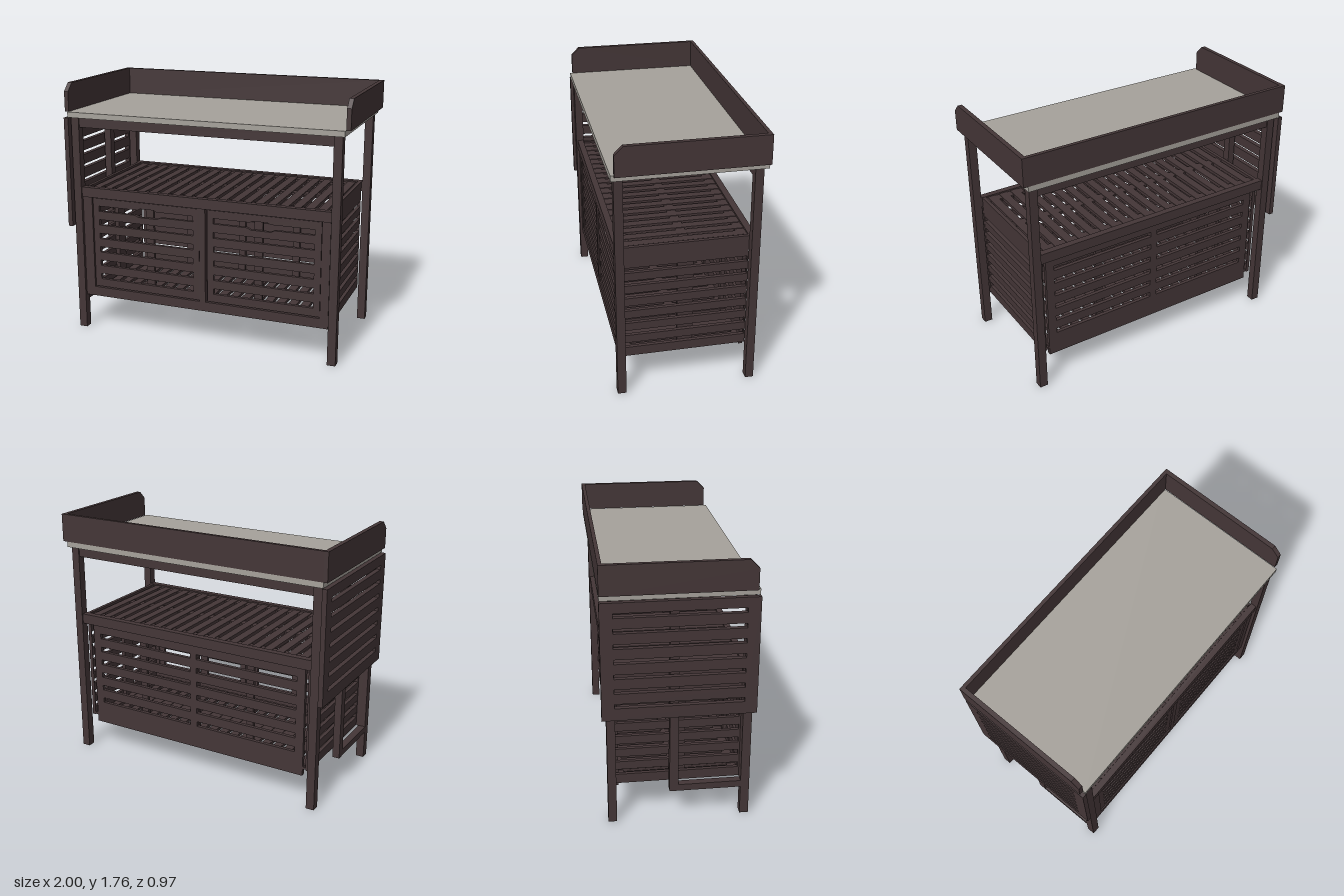
import * as THREE from 'three';

const wood = new THREE.MeshStandardMaterial({ color: 0x443637 });
wood.name = 'darkWood';
const grey = new THREE.MeshStandardMaterial({ color: 0xa6a29b });
grey.name = 'greyTop';

// Box given by its min and max on each axis
function box(parent, name, x0, x1, y0, y1, z0, z1, mat = wood) {
  const m = new THREE.Mesh(new THREE.BoxGeometry(x1 - x0, y1 - y0, z1 - z0), mat);
  m.position.set((x0 + x1) / 2, (y0 + y1) / 2, (z0 + z1) / 2);
  m.name = name;
  parent.add(m);
  return m;
}

const poly = (Type, pts) => new Type(pts.map(p => new THREE.Vector2(p[0], p[1])));
const rect = (u0, u1, v0, v1) => [[u0, v0], [u1, v0], [u1, v1], [u0, v1]];

// Flat board with cut-outs, extruded along z
function board(parent, name, outline, holes, thickness) {
  const shape = poly(THREE.Shape, outline);
  shape.holes = holes.map(h => poly(THREE.Path, h));
  const geo = new THREE.ExtrudeGeometry(shape, { depth: thickness, bevelEnabled: false });
  const m = new THREE.Mesh(geo, wood);
  m.name = name;
  parent.add(m);
  return m;
}

// Board turned to face sideways: outline is (z, y), outer face at xMax
function sideBoard(parent, name, outline, holes, thickness, xMax) {
  const m = board(parent, name, outline, holes, thickness);
  m.rotation.y = -Math.PI / 2;
  m.position.x = xMax;
  return m;
}

// Column of equal slots
function slots(u0, u1, bottom, height, pitch, count) {
  return Array.from({ length: count }, (_, i) =>
    rect(u0, u1, bottom + i * pitch, bottom + i * pitch + height));
}

export function createModel() {
  const g = new THREE.Group();
  g.name = 'changingTable';

  // Legs
  for (const [x0, x1] of [[-0.955, -0.898], [0.895, 0.952]]) {
    box(g, 'frontLeg', x0, x1, 0, 1.535, 0.408, 0.465);
    box(g, 'backLeg', x0, x1, 0, 1.535, -0.455, -0.4);
  }

  // Table top with raised rim
  box(g, 'tableTop', -0.972, 0.968, 1.535, 1.573, -0.483, 0.483, grey);
  box(g, 'rimBack', -0.972, 0.972, 1.573, 1.765, -0.485, -0.46);
  const rim = [[-0.485, 1.573], [0.465, 1.573], [0.465, 1.71], [0.41, 1.765], [-0.485, 1.765]];
  sideBoard(g, 'rimSide', rim, [], 0.03, 1);
  sideBoard(g, 'rimSide', rim, [], 0.03, -0.97);

  // Upper and middle rails
  for (const [z0, z1] of [[0.412, 0.455], [-0.447, -0.402]]) {
    box(g, 'topRail', -0.9, 0.897, 1.467, 1.535, z0, z1);
    box(g, 'middleRail', -0.9, 0.897, 0.975, 1.045, z0, z1);
  }

  // Hanging slatted panel on one side, with its post and foot bar
  sideBoard(g, 'hangingPanel', rect(-0.485, 0.485, 0.76, 1.532),
    slots(-0.405, 0.405, 0.842, 0.03, 0.0988, 7), 0.033, -0.967);
  box(g, 'sidePost', -0.955, -0.905, 0.2, 1.535, -0.057, 0);
  box(g, 'sideFootBar', -0.955, -0.905, 0.2, 0.245, 0, 0.408);

  // Cabinet sides
  for (const s of [1, -1]) {
    sideBoard(g, 'cabinetSide', rect(-0.402, 0.408, 0.245, 1.045),
      slots(-0.395, 0.398, 0.31, 0.036, 0.0923, 7), 0.025, s > 0 ? 0.887 : -0.862);
    const x = s * 0.847;
    box(g, 'sideInnerPost', x - 0.015, x + 0.015, 0.27, 1.0, -0.05, 0.053);
  }

  // Shelf and floor made of slats running front to back
  for (const [name, y] of [['shelfSlat', 1.015], ['floorSlat', 0.246]]) {
    const n = 20, pitch = 1.72 / n;
    for (let i = 0; i < n; i++) {
      const x = -0.86 + (i + 0.5) * pitch;
      box(g, name, x - 0.029, x + 0.029, y, y + 0.022, -0.4, 0.41);
    }
    for (const z of [-0.37, 0, 0.38])
      box(g, name + 'Support', -0.862, 0.862, y + 0.004, y + 0.018, z - 0.03, z + 0.03);
  }

  // Slatted back
  const back = board(g, 'cabinetBack', rect(-0.84, 0.84, 0.2, 0.972),
    [...slots(-0.78, -0.025, 0.362, 0.036, 0.1, 6), ...slots(0.025, 0.78, 0.362, 0.036, 0.1, 6)], 0.025);
  back.position.z = -0.402;
  for (const x of [-0.428, 0, 0.428])
    box(g, 'backInnerPost', x - 0.027, x + 0.025, 0.2, 0.972, -0.377, -0.352);

  // Front frame around the doors
  box(g, 'frontStile', -0.9, -0.828, 0.245, 0.975, 0.408, 0.445);
  box(g, 'frontStile', 0.832, 0.889, 0.245, 0.975, 0.408, 0.445);
  box(g, 'frontBottomRail', -0.9, 0.889, 0.245, 0.312, 0.408, 0.445);
  box(g, 'frontCentrePost', -0.018, 0.024, 0.312, 0.975, 0.408, 0.445);

  // Doors with slots; the top slot widens into a finger grip
  for (const [x0, x1, c] of [[-0.824, -0.022, -0.4], [0.036, 0.828, 0.42]]) {
    const a = x0 + 0.045, b = x1 - 0.045;
    const grip = [[a, 0.875], [c - 0.1, 0.875], [c - 0.075, 0.862], [c + 0.065, 0.862],
      [c + 0.09, 0.875], [b, 0.875], [b, 0.913], [c + 0.06, 0.913], [c + 0.045, 0.924],
      [c - 0.06, 0.924], [c - 0.08, 0.913], [a, 0.913]];
    const door = board(g, 'door', rect(x0, x1, 0.318, 0.968),
      [grip, ...slots(a, b, 0.375, 0.04, 0.1, 5)], 0.025);
    door.position.z = 0.412;
    const p = c < 0 ? -0.4 : 0.393;
    box(g, 'doorInnerPost', p - 0.029, p + 0.029, 0.33, 0.955, 0.388, 0.412);
  }
  return g;
}
